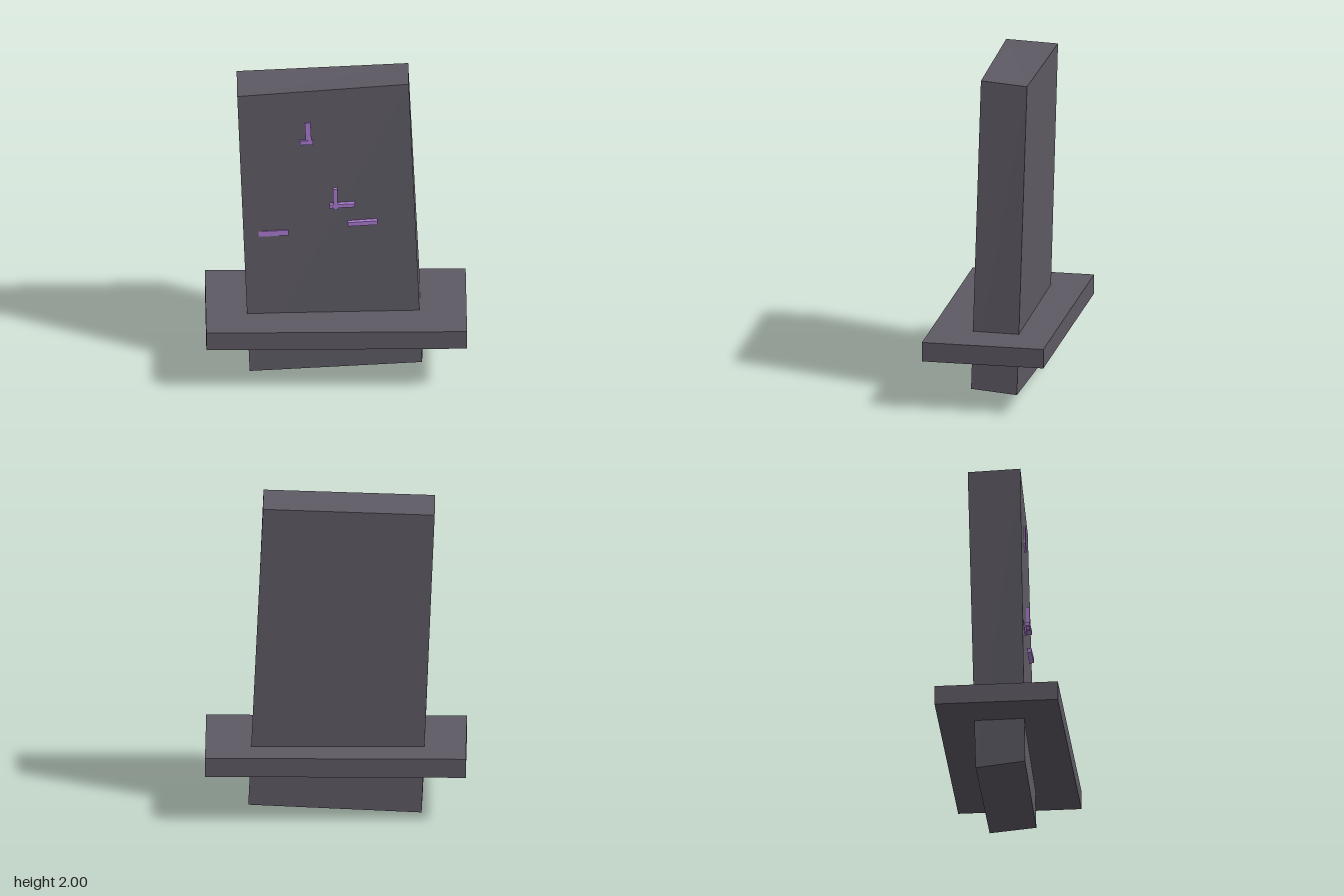
import * as THREE from 'three';

export function createModel() {
  const group = new THREE.Group();
  const stone = new THREE.MeshStandardMaterial({ color: 0x5e5a64, flatShading: true });
  stone.name = 'dark stone';
  const violet = new THREE.MeshStandardMaterial({ color: 0xac7dd2, flatShading: true });
  violet.name = 'violet';

  function add(name, geometry, material) {
    const mesh = new THREE.Mesh(geometry, material);
    mesh.name = name;
    group.add(mesh);
    return mesh;
  }

  // Leaning slab: a box whose corners are moved (key: right, top, front)
  const corners = {
    '000': [-0.52, 0.00, -0.15], '001': [-0.525, 0.03, 0.152],
    '100': [0.53, 0.05, -0.16], '101': [0.52, 0.07, 0.125],
    '010': [-0.60, 1.94, -0.19], '011': [-0.60, 1.95, 0.13],
    '110': [0.44, 1.98, -0.205], '111': [0.44, 2.00, 0.08],
  };
  const slab = new THREE.BoxGeometry(1, 1, 1);
  const p = slab.attributes.position;
  for (let i = 0; i < p.count; i++) {
    const key = [p.getX(i), p.getY(i), p.getZ(i)].map((v) => (v > 0 ? 1 : 0)).join('');
    p.setXYZ(i, ...corners[key]);
  }
  slab.computeVertexNormals();
  add('slab', slab, stone);

  // Wide collar around the foot of the slab
  add('collar', new THREE.BoxGeometry(1.58, 0.12, 0.75), stone).position.set(0, 0.37, 0);

  // Glowing bars set into the front: name, x, y, front z, width, height, tilt
  const marks = [
    ['upperMarkStem', -0.17, 1.68, 0.123, 0.035, 0.15, 0.05],
    ['upperMarkFoot', -0.18, 1.618, 0.126, 0.08, 0.03, 0.04],
    ['middleMarkStem', -0.005, 1.222, 0.134, 0.027, 0.145, 0.03],
    ['middleMarkBar', 0.037, 1.178, 0.136, 0.155, 0.024, 0.05],
    ['rightMark', 0.16, 1.053, 0.136, 0.18, 0.027, 0.06],
    ['leftMark', -0.38, 0.989, 0.139, 0.18, 0.036, 0.05],
  ];
  for (const [name, x, y, z, w, h, tilt] of marks) {
    const mark = add(name, new THREE.BoxGeometry(w, h, 0.035), violet);
    mark.position.set(x, y, z - 0.0175);
    mark.rotation.z = tilt;
  }
  return group;
}
